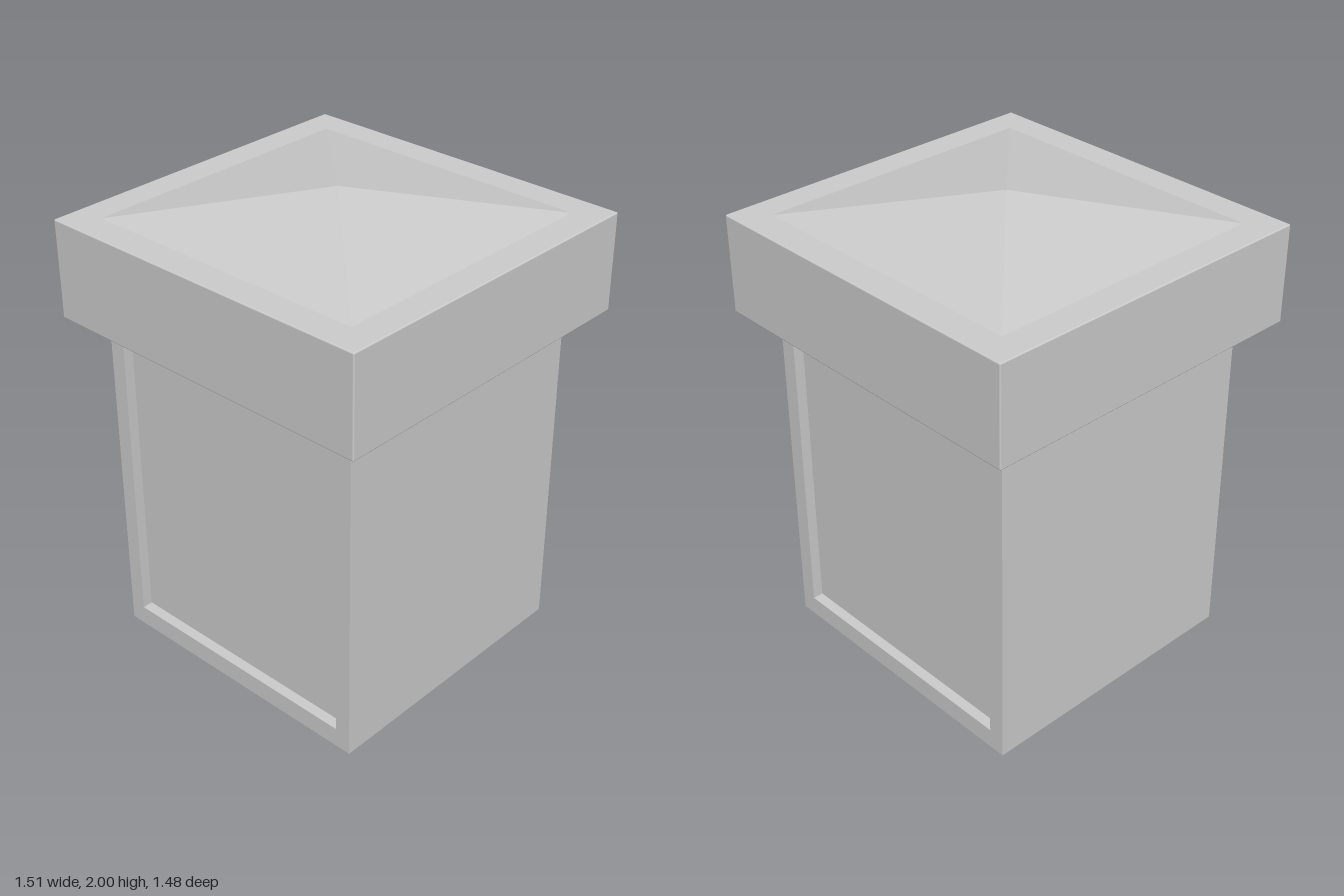
import * as THREE from 'three';
import { RoundedBoxGeometry } from 'three/addons/geometries/RoundedBoxGeometry.js';

const BODY_W = 1.26, BODY_D = 1.23, BODY_H = 1.47;
const CAP_W = 1.51, CAP_D = 1.48, CAP_BOTTOM = 1.465, CAP_TOP = 1.88;
const RECESS = 0.045;

export function createModel() {
  const model = new THREE.Group();
  model.name = 'squarePillar';
  const material = new THREE.MeshStandardMaterial({ color: 0xcccccc });

  const add = (name, geometry, y = 0, z = 0) => {
    const mesh = new THREE.Mesh(geometry, material);
    mesh.name = name;
    mesh.position.set(0, y, z);
    model.add(mesh);
    return mesh;
  };

  // Core of the shaft; its front and back faces are the sunken panels
  add('shaftCore', new THREE.BoxGeometry(BODY_W, BODY_H, BODY_D - 2 * RECESS), BODY_H / 2);

  // Raised border around each sunken panel, front and back
  const border = new THREE.Shape([
    [-BODY_W / 2, 0], [BODY_W / 2, 0], [BODY_W / 2, BODY_H], [-BODY_W / 2, BODY_H],
  ].map(([x, y]) => new THREE.Vector2(x, y)));
  border.holes.push(new THREE.Path([
    [-0.56, 0.085], [-0.56, 1.38], [0.56, 1.38], [0.56, 0.085],
  ].map(([x, y]) => new THREE.Vector2(x, y))));
  const borderGeometry = new THREE.ExtrudeGeometry(border, { depth: RECESS, bevelEnabled: false });
  add('frontPanelBorder', borderGeometry, 0, BODY_D / 2 - RECESS);
  add('backPanelBorder', borderGeometry, 0, -BODY_D / 2 + RECESS).rotation.y = Math.PI;

  // Overhanging cap block with a hairline bevel
  const capHeight = CAP_TOP - CAP_BOTTOM;
  add('capBlock', new RoundedBoxGeometry(CAP_W, capHeight, CAP_D, 2, 0.006), CAP_BOTTOM + capHeight / 2);

  // Low four-sided pyramid on the cap, its base matching the shaft
  const roof = new THREE.ConeGeometry(Math.SQRT1_2, 2 - CAP_TOP, 4, 1).rotateY(Math.PI / 4);
  roof.scale(BODY_W, 1, BODY_D);
  const flatRoof = roof.toNonIndexed();
  flatRoof.computeVertexNormals();
  add('roofPyramid', flatRoof, (2 + CAP_TOP) / 2);

  return model;
}
